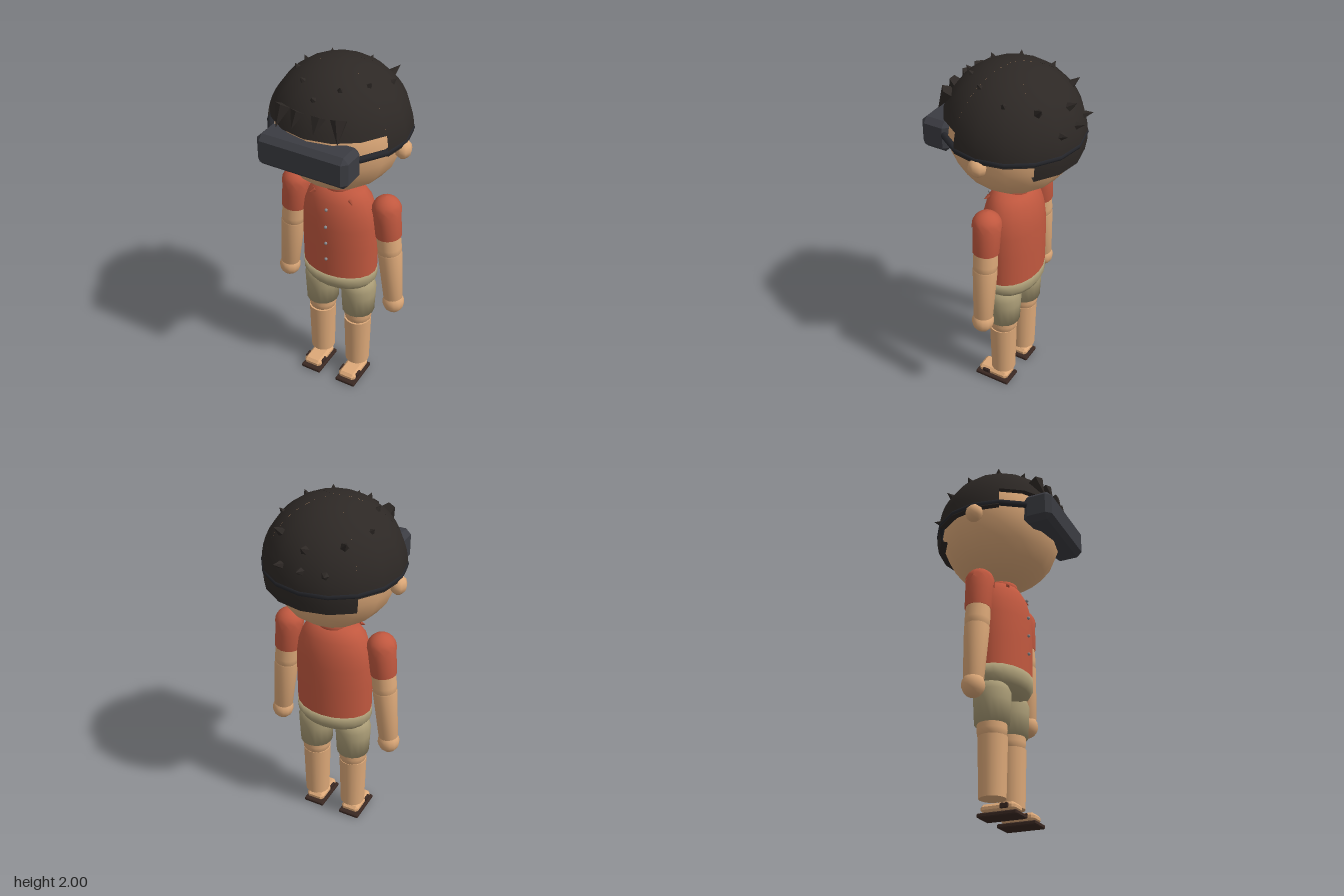
import * as THREE from 'three';
import { ConvexGeometry } from 'three/addons/geometries/ConvexGeometry.js';

const mat = (color, extra = {}) => new THREE.MeshStandardMaterial({ color, ...extra });
const SKIN = mat(0xdca878);
const SHIRT = mat(0xc1583f);
const KHAKI = mat(0xaa9c76);
const HAIR = mat(0x2d2825, { side: THREE.DoubleSide });
const SPIKE = mat(0x2d2825, { flatShading: true });
const VISOR = mat(0x3b3c42, { flatShading: true });
const STRAP = mat(0x25262b);
const SOLE = mat(0x3a2822, { flatShading: true });
const BUTTON = mat(0x8c8c90);

const HEAD_Y = 1.635, HAIR_R = 0.365;

function add(parent, name, geometry, material, x = 0, y = 0, z = 0) {
  const mesh = new THREE.Mesh(geometry, material);
  mesh.name = name;
  mesh.position.set(x, y, z);
  parent.add(mesh);
  return mesh;
}

// Surface of revolution from [radius, height] pairs, bottom to top
function lathe(pairs, segments = 20, start = 0, length = Math.PI * 2) {
  return new THREE.LatheGeometry(pairs.map(([r, y]) => new THREE.Vector2(r, y)), segments, start, length);
}

// Box with all edges chamfered by c
function chamferBox(w, h, d, c) {
  const points = [];
  for (const sx of [-1, 1]) for (const sy of [-1, 1]) for (const sz of [-1, 1]) {
    for (let axis = 0; axis < 3; axis++) {
      const inset = [c, c, c];
      inset[axis] = 0;
      points.push(new THREE.Vector3(
        sx * (w / 2 - inset[0]), sy * (h / 2 - inset[1]), sz * (d / 2 - inset[2])));
    }
  }
  return new ConvexGeometry(points);
}

// Cone standing on base, pointing along dir
function spike(parent, name, base, dir, radius, height, sides, material = SPIKE) {
  const n = dir.clone().normalize();
  const mesh = add(parent, name, new THREE.ConeGeometry(radius, height, sides), material);
  mesh.quaternion.setFromUnitVectors(new THREE.Vector3(0, 1, 0), n);
  mesh.position.copy(base).addScaledVector(n, height / 2);
}

function makeHair() {
  const hair = new THREE.Group();
  hair.name = 'hair';
  hair.position.y = HEAD_Y;
  const step = Math.PI / 8;
  // Cap in sectors of different length: [name, first step, steps, rim angle from the crown]
  const sectors = [['hairFront', -3, 6, 1.29], ['hairLeft', 3, 3, 1.59],
    ['hairBack', 6, 4, 1.82], ['hairRight', 10, 3, 1.59]];
  for (const [name, first, count, rim] of sectors) {
    const profile = [];
    for (let i = 12; i >= 0; i--) {
      const t = rim * i / 12;
      profile.push([HAIR_R * Math.sin(t), HAIR_R * Math.cos(t)]);
    }
    add(hair, name, lathe(profile, count, first * step, count * step), HAIR);
    const [r, y] = profile[0];
    add(hair, name + 'Rim', lathe([[r - 0.045, y], [r, y]], count, first * step, count * step), HAIR);
  }
  // Spikes standing out of the cap: [x, z, radius, height, lower half]
  const spikes = [[0.24, -0.083, 0.02, 0.035], [0.195, 0.073, 0.02, 0.035], [0.1, 0.18, 0.02, 0.035],
    [0, 0.255, 0.022, 0.035], [0, -0.3, 0.027, 0.06], [0.17, -0.225, 0.025, 0.06],
    [0.12, -0.325, 0.024, 0.055], [0, -0.345, 0.024, 0.055]];
  for (const [x, z, radius, height] of spikes) {
    for (const s of x ? [1, -1] : [1]) {
      const y = Math.sqrt(Math.max(0, HAIR_R ** 2 - x * x - z * z));
      const p = new THREE.Vector3(s * x, y, z);
      spike(hair, 'hairSpike', p.clone().multiplyScalar(0.97), p, radius, height, 5);
    }
  }
  // Fringe locks hanging down over the forehead: [base x, tip x, radius, tip y]
  const locks = [[-0.15, -0.165, 0.043, 1.74], [-0.06, -0.07, 0.036, 1.765],
    [0.05, 0.05, 0.038, 1.765], [0.15, 0.17, 0.043, 1.74]];
  for (const [bx, tx, radius, ty] of locks) {
    const base = new THREE.Vector3(bx, 1.84 - HEAD_Y, 0.31 - Math.abs(bx) * 0.22);
    const dir = new THREE.Vector3(tx, ty - HEAD_Y, 0.352 - Math.abs(tx) * 0.12).sub(base);
    spike(hair, 'fringeLock', base, dir, radius, dir.length(), 5);
  }
  return hair;
}

function makeHead() {
  const head = new THREE.Group();
  head.name = 'head';
  add(head, 'face', new THREE.SphereGeometry(0.333, 16, 12), SKIN, 0, 1.643, 0);
  for (const s of [-1, 1]) {
    add(head, 'ear', new THREE.SphereGeometry(0.05, 8, 6), SKIN, s * 0.35, 1.6, 0).scale.x = 0.85;
  }
  head.add(makeHair());
  // Visor and its strap
  add(head, 'visor', chamferBox(0.5, 0.17, 0.16, 0.028), VISOR, 0, 1.625, 0.315);
  add(head, 'visorStrap', new THREE.TorusGeometry(0.352, 0.017, 8, 16), STRAP, 0, 1.645, 0).rotation.x = Math.PI / 2;
  return head;
}

function makeTorso() {
  const torso = new THREE.Group();
  torso.name = 'torso';
  add(torso, 'shirt', lathe([[0.213, 0.77], [0.215, 0.95], [0.213, 1.08], [0.202, 1.16], [0.178, 1.23],
    [0.14, 1.28], [0.09, 1.3], [0, 1.305]]), SHIRT).scale.z = 0.72;
  add(torso, 'collar', lathe([[0.075, 1.26], [0.09, 1.29], [0.085, 1.315], [0.06, 1.325]]), SHIRT);
  add(torso, 'shortsWaist', lathe([[0, 0.65], [0.13, 0.655], [0.19, 0.69], [0.215, 0.725],
    [0.216, 0.78], [0, 0.78]]), KHAKI).scale.z = 0.72;
  for (const y of [1.205, 1.1, 0.995, 0.89]) {
    add(torso, 'button', new THREE.SphereGeometry(0.009, 8, 6), BUTTON, 0, y, y > 1.15 ? 0.15 : 0.158);
  }
  for (const s of [-1, 1]) {
    spike(torso, 'collarPoint', new THREE.Vector3(s * 0.105, 1.262, 0.085),
      new THREE.Vector3(s * 0.8, -0.5, 0.7), 0.014, 0.035, 4, SHIRT);
  }
  return torso;
}

function makeArm(s) {
  const arm = new THREE.Group();
  arm.name = s > 0 ? 'leftArm' : 'rightArm';
  arm.position.set(s * 0.272, 1.215, 0);
  arm.rotation.z = s * 0.1;
  add(arm, 'sleeve', lathe([[0.06, -0.16], [0.07, -0.16], [0.073, -0.06], [0.074, 0], [0.064, 0.037],
    [0.037, 0.064], [0, 0.074]], 16), SHIRT);
  // Shoulder cap with a zigzag hem
  const cap = new THREE.SphereGeometry(0.078, 20, 6, 0, Math.PI * 2, 0, Math.PI / 2);
  const pos = cap.attributes.position;
  for (let i = 6 * 21; i < 7 * 21; i++) pos.setY(i, i % 2 ? -0.018 : 0.006);
  cap.computeVertexNormals();
  add(arm, 'shoulderCap', cap, mat(0xc1583f, { side: THREE.DoubleSide }));
  add(arm, 'upperArm', lathe([[0.064, -0.17], [0.064, -0.1]], 16), SKIN);
  add(arm, 'elbow', lathe([[0.05, -0.29], [0.064, -0.26], [0.066, -0.23], [0.064, -0.16]], 16), SKIN);
  add(arm, 'forearm', lathe([[0, -0.575], [0.053, -0.565], [0.066, -0.27], [0.05, -0.255]], 16), SKIN);
  add(arm, 'hand', new THREE.SphereGeometry(0.06, 12, 10), SKIN, 0, -0.6, 0).scale.y = 1.1;
  return arm;
}

function makeLeg(s) {
  const leg = new THREE.Group();
  leg.name = s > 0 ? 'leftLeg' : 'rightLeg';
  leg.position.x = s * 0.115;
  add(leg, 'shortsLeg', lathe([[0, 0.48], [0.091, 0.48], [0.097, 0.6], [0.099, 0.65], [0.085, 0.69],
    [0.05, 0.71], [0, 0.715]], 16), KHAKI);
  add(leg, 'knee', lathe([[0.06, 0.4], [0.074, 0.42], [0.079, 0.45], [0.077, 0.5]], 16), SKIN);
  add(leg, 'shin', new THREE.CylinderGeometry(0.077, 0.069, 0.315, 16), SKIN, 0, 0.2575, 0.004);
  // Foot in a sandal
  add(leg, 'foot', chamferBox(0.105, 0.045, 0.185, 0.015), SKIN, 0, 0.045, 0.052);
  add(leg, 'sandalSole', chamferBox(0.122, 0.022, 0.212, 0.005), SOLE, 0, 0.011, 0.053);
  for (const side of [-1, 1]) {
    add(leg, 'sandalStrap', chamferBox(0.014, 0.026, 0.045, 0.004), SOLE, side * 0.052, 0.048, 0.09);
  }
  return leg;
}

export function createModel() {
  const model = new THREE.Group();
  model.name = 'figure';
  model.add(makeHead(), makeTorso());
  for (const s of [-1, 1]) model.add(makeArm(s), makeLeg(s));
  return model;
}
